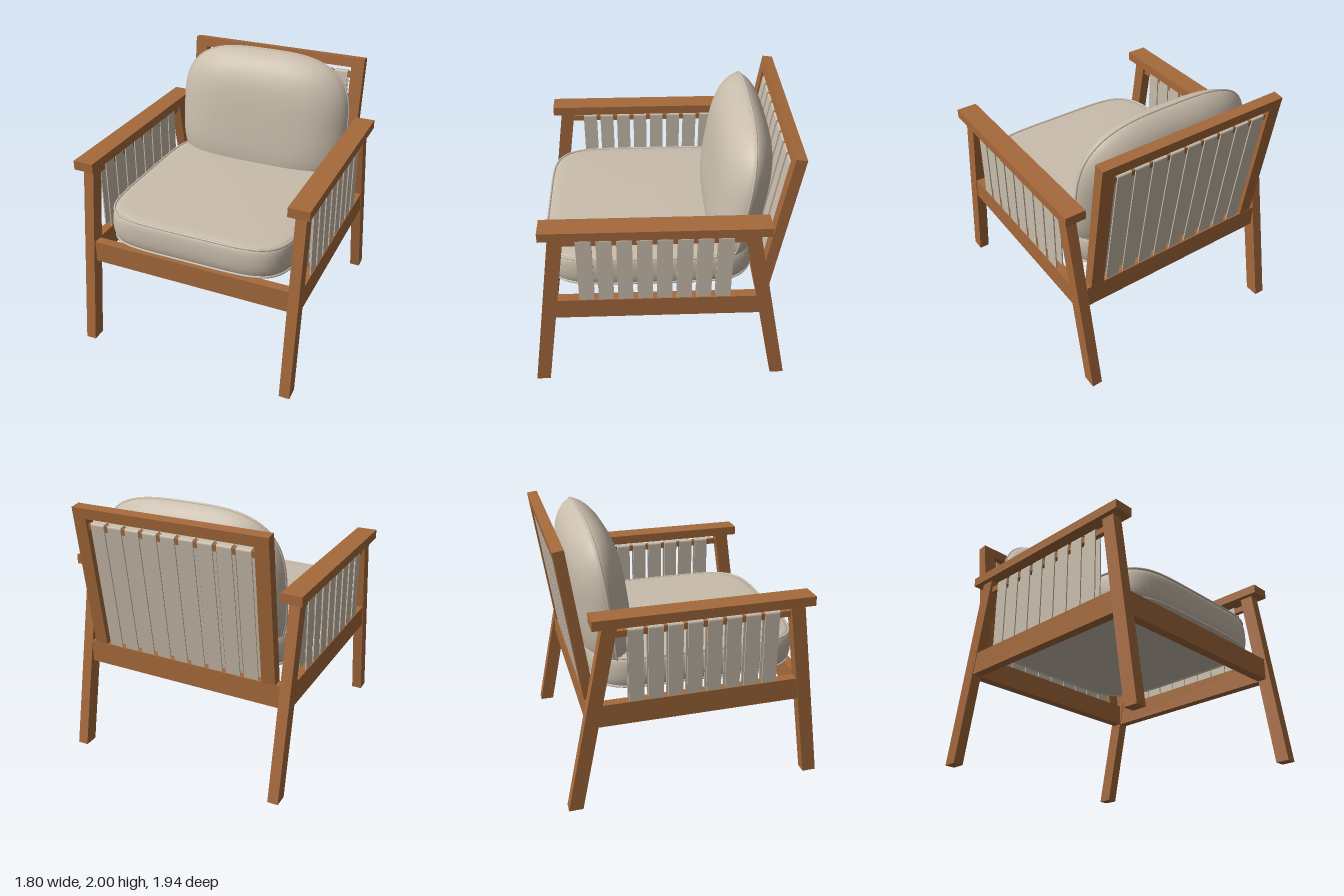
import * as THREE from 'three';

const wood = new THREE.MeshStandardMaterial({ color: 0xa5693b });
wood.name = 'wood';
const fabric = new THREE.MeshStandardMaterial({ color: 0xc9bdac });
fabric.name = 'fabric';

function add(parent, name, geometry, material, x = 0, y = 0, z = 0) {
  const mesh = new THREE.Mesh(geometry, material);
  mesh.name = name;
  mesh.position.set(x, y, z);
  parent.add(mesh);
  return mesh;
}

// Box given by its limits on each axis
function bar(parent, name, [x0, x1], [y0, y1], [z0, z1]) {
  return add(parent, name, new THREE.BoxGeometry(x1 - x0, y1 - y0, z1 - z0), wood,
    (x0 + x1) / 2, (y0 + y1) / 2, (z0 + z1) / 2);
}

// Slanted leg with level ends
function leg(parent, name, x, zBottom, zTop) {
  const height = 1.44;
  const geometry = new THREE.BoxGeometry(0.08, height, 0.105);
  geometry.translate(0, height / 2, 0);
  const p = geometry.attributes.position;
  for (let i = 0; i < p.count; i++) {
    p.setZ(i, p.getZ(i) + THREE.MathUtils.lerp(zBottom, zTop, p.getY(i) / height));
  }
  geometry.computeVertexNormals();
  add(parent, name, geometry, wood, x, 0, 0);
}

// Strap folded over a rod: an upside-down U, extruded to the strap width
function strapGeometry(height, width = 0.108) {
  const o = 0.03, t = 0.009, i = o - t, r = 0.015;
  const s = new THREE.Shape();
  s.moveTo(-o, 0);
  s.lineTo(-i, 0);
  s.lineTo(-i, height - t);
  s.lineTo(i, height - t);
  s.lineTo(i, 0);
  s.lineTo(o, 0);
  s.lineTo(o, height - r);
  s.quadraticCurveTo(o, height, o - r, height);
  s.lineTo(-o + r, height);
  s.quadraticCurveTo(-o, height, -o, height - r);
  const g = new THREE.ExtrudeGeometry(s, { depth: width, bevelEnabled: false, curveSegments: 4 });
  g.translate(0, 0, -width / 2);
  return g;
}

// Point on a rounded-square outline in the xz plane
function outline(a, b, n, angle, scale = 1) {
  const c = Math.cos(angle), s = Math.sin(angle);
  const r = scale / Math.pow(Math.abs(c / a) ** n + Math.abs(s / b) ** n, 1 / n);
  return [r * c, r * s];
}

// Cushion skinned over scaled outlines; profile is [scale, height], top to bottom
function cushionGeometry(a, b, n, profile) {
  const N = 112, positions = [], index = [];
  profile.forEach(([scale, y]) => {
    for (let i = 0; i < N; i++) {
      const [x, z] = outline(a, b, n, i / N * Math.PI * 2, scale);
      positions.push(x, y, z);
    }
  });
  for (let j = 0; j < profile.length - 1; j++) {
    for (let i = 0; i < N; i++) {
      const k = (i + 1) % N;
      const p = j * N + i, q = j * N + k, r = p + N, s = q + N;
      index.push(p, q, r, q, s, r);
    }
  }
  const g = new THREE.BufferGeometry();
  g.setAttribute('position', new THREE.Float32BufferAttribute(positions, 3));
  g.setIndex(index);
  g.computeVertexNormals();
  return g;
}

function pipingGeometry(a, b, n, scale, y, radius) {
  const points = [];
  for (let i = 0; i < 80; i++) {
    const [x, z] = outline(a, b, n, i / 80 * Math.PI * 2, scale);
    points.push(new THREE.Vector3(x, y, z));
  }
  return new THREE.TubeGeometry(new THREE.CatmullRomCurve3(points, true), 160, radius, 8, true);
}

export function createModel() {
  const model = new THREE.Group();
  model.name = 'armchair';

  // Sides: legs, armrest, rail, rod and straps
  for (const side of [1, -1]) {
    const group = new THREE.Group();
    group.name = side > 0 ? 'leftSide' : 'rightSide';
    model.add(group);
    const span = (a, b) => side > 0 ? [a, b] : [-b, -a];
    leg(group, 'frontLeg', side * 0.82, 0.92, 0.718);
    leg(group, 'backLeg', side * 0.82, -0.915, -0.62);
    bar(group, 'armrest', span(0.742, 0.898), [1.43, 1.5], [-0.748, 0.835]);
    bar(group, 'sideRail', span(0.785, 0.855), [0.67, 0.84], [-0.77, 0.8]);
    bar(group, 'armRod', span(0.801, 0.839), [1.34, 1.385], [-0.62, 0.71]);
    const strap = strapGeometry(0.56);
    for (let i = 0; i < 8; i++) {
      add(group, 'armStrap', strap, fabric, side * 0.82, 0.835, 0.536 - i * 0.1403);
    }
  }

  // Seat rails
  bar(model, 'frontRail', [-0.78, 0.78], [0.67, 0.84], [0.77, 0.84]);
  bar(model, 'backRail', [-0.78, 0.78], [0.67, 0.84], [-0.8, -0.725]);

  // Tilted back frame with straps
  const back = new THREE.Group();
  back.name = 'backFrame';
  back.position.set(0, 0.83, -0.758);
  back.rotation.x = -0.14;
  model.add(back);
  for (const [a, b] of [[0.642, 0.744], [-0.744, -0.642]]) {
    bar(back, 'backUpright', [a, b], [0, 1.045], [-0.039, 0.039]);
  }
  bar(back, 'backTopBar', [-0.744, 0.744], [1.045, 1.122], [-0.039, 0.039]);
  bar(back, 'backRod', [-0.65, 0.65], [0.955, 1.0], [-0.019, 0.019]);
  const backStrap = strapGeometry(1.01);
  backStrap.rotateY(Math.PI / 2);
  for (let i = -4; i <= 4; i++) add(back, 'backStrap', backStrap, fabric, i * 0.14, 0, 0);

  // Seat cushion with piping along both edges
  const seat = new THREE.Group();
  seat.name = 'seatCushion';
  seat.position.z = 0.07;
  model.add(seat);
  const seatProfile = [[0, 1.122], [0.4, 1.122], [0.7, 1.12], [0.88, 1.115], [0.95, 1.108],
    [0.975, 1.098], [0.99, 1.07], [0.998, 1.03], [1, 0.98], [0.998, 0.94], [0.99, 0.9],
    [0.975, 0.876], [0.95, 0.866], [0.88, 0.85], [0.75, 0.838], [0.4, 0.832], [0, 0.832]];
  add(seat, 'seatPad', cushionGeometry(0.738, 0.785, 5.5, seatProfile), fabric);
  for (const y of [1.1, 0.876]) {
    add(seat, 'seatPiping', pipingGeometry(0.738, 0.785, 5.5, 0.98, y, 0.009), fabric);
  }

  // Pillow-shaped back cushion, leaning back
  const pillow = new THREE.Group();
  pillow.name = 'backCushion';
  pillow.position.set(0, 1.42, -0.586);
  pillow.rotation.x = Math.PI / 2 - 0.13;
  model.add(pillow);
  const scales = [0, 0.2, 0.35, 0.5, 0.6, 0.7, 0.78, 0.85, 0.9, 0.94, 0.97, 0.99, 1];
  const face = scales.map((s) => [s, 0.202 * Math.pow(1 - s ** 4, 0.7)]);
  const pillowProfile = [...face, ...face.slice(0, -1).reverse().map(([s, h]) => [s, -h])];
  add(pillow, 'backPad', cushionGeometry(0.722, 0.58, 3.2, pillowProfile), fabric);
  add(pillow, 'backPiping', pipingGeometry(0.722, 0.58, 3.2, 0.997, 0, 0.009), fabric);

  return model;
}
